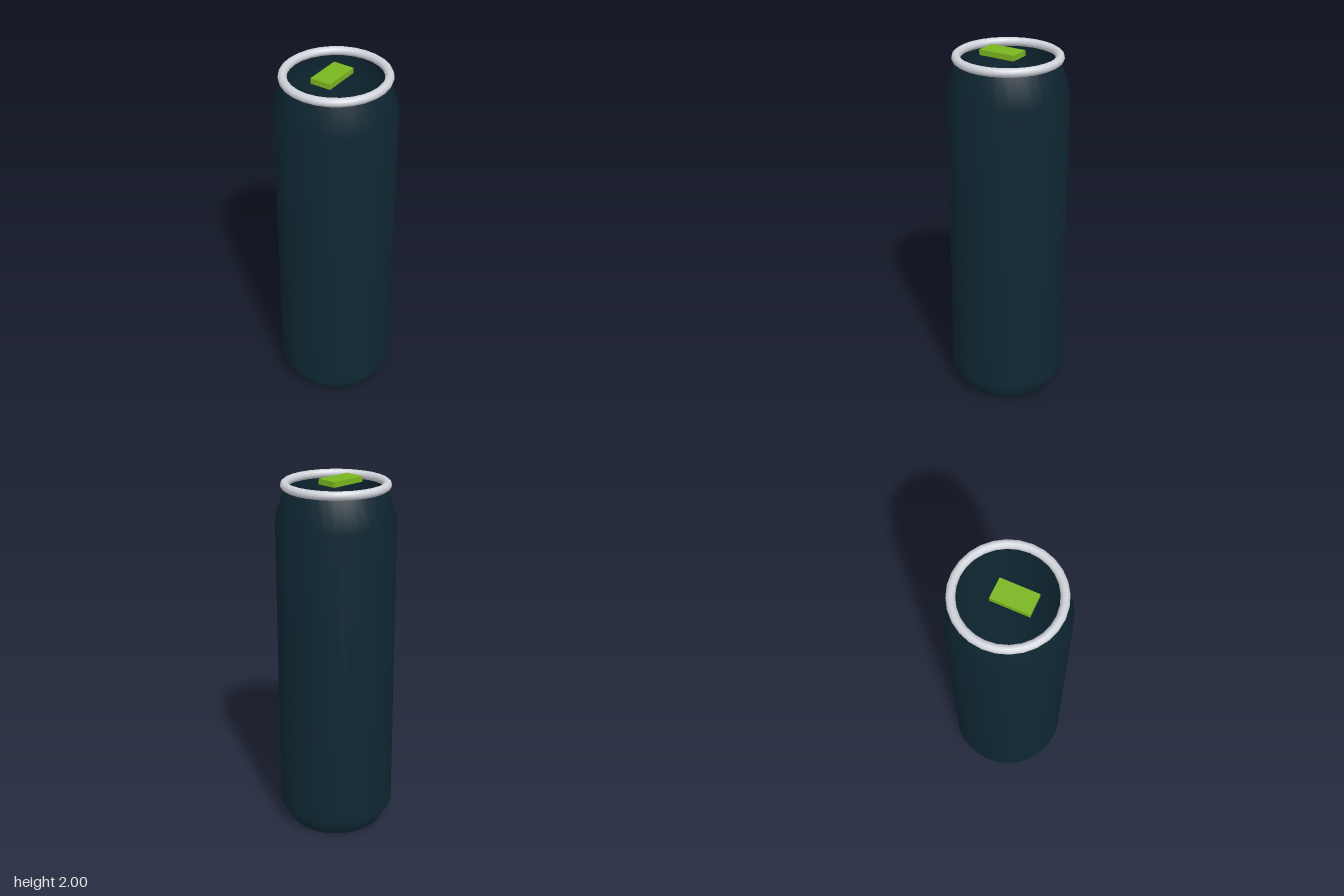
import * as THREE from 'three';

export function createModel() {
  const group = new THREE.Group();
  const make = (name, geometry, material) => {
    const mesh = new THREE.Mesh(geometry, material);
    mesh.name = name;
    group.add(mesh);
    return mesh;
  };

  const darkTeal = new THREE.MeshStandardMaterial({ color: 0x0f2733, side: THREE.DoubleSide });
  darkTeal.name = 'darkTeal';
  const silver = new THREE.MeshStandardMaterial({ color: 0xd0d3da });
  silver.name = 'silver';
  const green = new THREE.MeshStandardMaterial({ color: 0x7ab51f });
  green.name = 'green';

  // Can wall: open at both ends, tapered at the foot and the shoulder
  const profile = [[0.26, 0], [0.325, 0.11], [0.325, 1.79], [0.268, 1.97]]
    .map(([r, y]) => new THREE.Vector2(r, y));
  make('canBody', new THREE.LatheGeometry(profile, 32), darkTeal);

  // Rolled rim
  const rim = make('rim', new THREE.TorusGeometry(0.271, 0.0235, 10, 28), silver);
  rim.rotation.x = Math.PI / 2;
  rim.position.y = 1.97;

  // Pull tab, set towards the front
  const tab = make('pullTab', new THREE.BoxGeometry(0.117, 0.03, 0.21), green);
  tab.position.set(0, 1.985, 0.035);

  return group;
}
